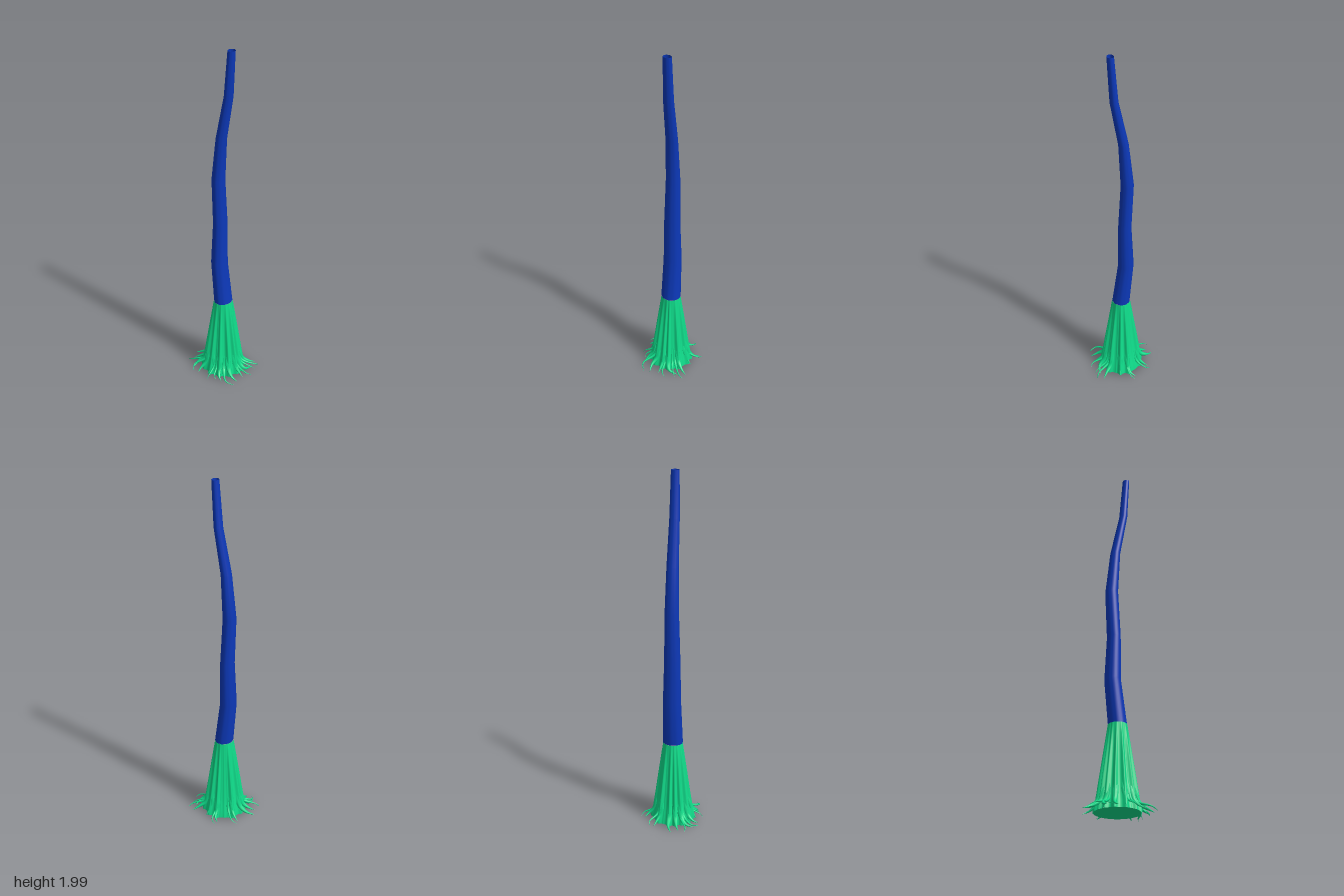
import * as THREE from 'three';

const bark = new THREE.MeshStandardMaterial({ color: 0x0c38b8, side: THREE.DoubleSide });
bark.name = 'blue bark';
const rootGreen = new THREE.MeshStandardMaterial({ color: 0x0fdc8a });
rootGreen.name = 'green root';

// Closed skin over rings of equal point count, listed from bottom to top
function loft(rings) {
  const n = rings[0].length, index = [];
  for (let i = 0; i < rings.length - 1; i++) {
    for (let j = 0; j < n; j++) {
      const a = i * n + j, b = i * n + (j + 1) % n;
      index.push(a, a + n, b, b, a + n, b + n);
    }
  }
  const g = new THREE.BufferGeometry();
  g.setFromPoints(rings.flat());
  g.setIndex(index);
  g.computeVertexNormals();
  return g;
}

function ring(count, point) {
  return Array.from({ length: count }, (_, j) => point((j / count) * Math.PI * 2));
}

// Roots: angle in degrees from +x towards +z, reach, curl of the tip in degrees
const thickRoots = [
  [-43, 0.191, -3], [-76, 0.142, 1], [-100, 0.165, -10], [-149, 0.168, -2], [180, 0.197, -8],
  [143, 0.182, -15], [118, 0.17, -8], [32, 0.187, -9], [61, 0.166, -8], [-10, 0.171, -22],
  [7, 0.171, 0], [90, 0.137, 3], [162, 0.184, -3],
];
const thinRoots = [
  [-97, 0.185, -9], [-137, 0.187, -10], [146, 0.214, 5], [135, 0.191, -19], [82, 0.173, 1],
  [72, 0.159, -9], [48, 0.209, -17], [0, 0.194, -9], [-32, 0.217, -7], [-23, 0.193, -3],
];

// Ridge strength around the flare, strongest above each thick root
function ridge(a) {
  let h = 0.12 * Math.cos(29 * a);
  for (const [deg] of thickRoots) {
    const d = THREE.MathUtils.degToRad(deg) - a;
    h = Math.max(h, Math.exp(-((Math.atan2(Math.sin(d), Math.cos(d)) / 0.11) ** 2)));
  }
  return h;
}

// Root swept along its path, thick at the rim and pointed at the curled tip
function rootGeometry([deg, reach, curl], radius, elbow) {
  const at = (d, y, turn) => {
    const a = THREE.MathUtils.degToRad(deg + turn);
    return new THREE.Vector3(d * Math.cos(a), y, d * Math.sin(a));
  };
  const curve = new THREE.CatmullRomCurve3([
    at(0.068, 0.27, 0), at(0.084, 0.14, 0), at(0.107, 0.06, 0),
    at(THREE.MathUtils.lerp(0.112, reach, elbow), 0.03, curl * 0.2), at(reach, 0.014, curl),
  ]);
  const steps = 24, sides = 8;
  const g = new THREE.TubeGeometry(curve, steps, radius, sides);
  const p = g.attributes.position, v = new THREE.Vector3();
  for (let i = 0; i <= steps; i++) {
    const t = i / steps, c = curve.getPointAt(t);
    const k = Math.min(1, 0.35 + t) * Math.min(1, (1 - t) * 2.4) ** 0.9;
    for (let j = 0; j <= sides; j++) {
      const q = i * (sides + 1) + j;
      v.fromBufferAttribute(p, q).sub(c).multiplyScalar(k).add(c);
      p.setXYZ(q, v.x, Math.max(0, v.y), v.z);
    }
  }
  g.computeVertexNormals();
  return g;
}

export function createModel() {
  const model = new THREE.Group();
  model.name = 'rootedStalk';
  const base = new THREE.Group();
  base.name = 'rootBase';
  model.add(base);
  const add = (name, geometry, material, parent) => {
    const m = new THREE.Mesh(geometry, material);
    m.name = name;
    parent.add(m);
  };

  // Hollow bent stalk: height, centre x, half width, half depth
  const bends = [
    [0.48, 0, 0.05, 0.056], [0.73, -0.028, 0.044, 0.051], [0.98, -0.021, 0.037, 0.045],
    [1.25, -0.034, 0.036, 0.039], [1.5, -0.013, 0.028, 0.033], [1.75, 0.036, 0.023, 0.028],
    [2, 0.054, 0.019, 0.023],
  ];
  add('stalk', loft(bends.map(([y, x, w, d]) => ring(30, (a) => {
    const k = 0.98 + 0.02 * Math.cos(10 * a);
    return new THREE.Vector3(x + w * k * Math.cos(a), y, d * k * Math.sin(a));
  }))), bark, model);

  // Fluted flare: height, valley radius, ridge height
  const flare = [
    [0.012, 0.112, 0.016], [0.05, 0.106, 0.018], [0.08, 0.098, 0.017], [0.13, 0.09, 0.017],
    [0.19, 0.082, 0.016], [0.27, 0.072, 0.013], [0.35, 0.063, 0.009], [0.42, 0.056, 0.005], [0.48, 0.051, 0],
  ];
  add('flare', loft(flare.map(([y, r, h]) => ring(200, (a) => {
    const k = r + h * ridge(a), deepen = 1 + 0.29 * Math.max(0, y - 0.2);
    return new THREE.Vector3(k * Math.cos(a), y, k * Math.sin(a) * deepen);
  }))), rootGreen, base);

  // Flat underside
  const sole = new THREE.CircleGeometry(0.122, 40);
  sole.rotateX(Math.PI / 2).translate(0, 0.012, 0);
  add('underside', sole, rootGreen, base);

  thickRoots.forEach((r) => add('root', rootGeometry(r, 0.019, 0.5), rootGreen, base));
  thinRoots.forEach((r) => add('rootlet', rootGeometry(r, 0.009, 0.75), rootGreen, base));
  return model;
}
